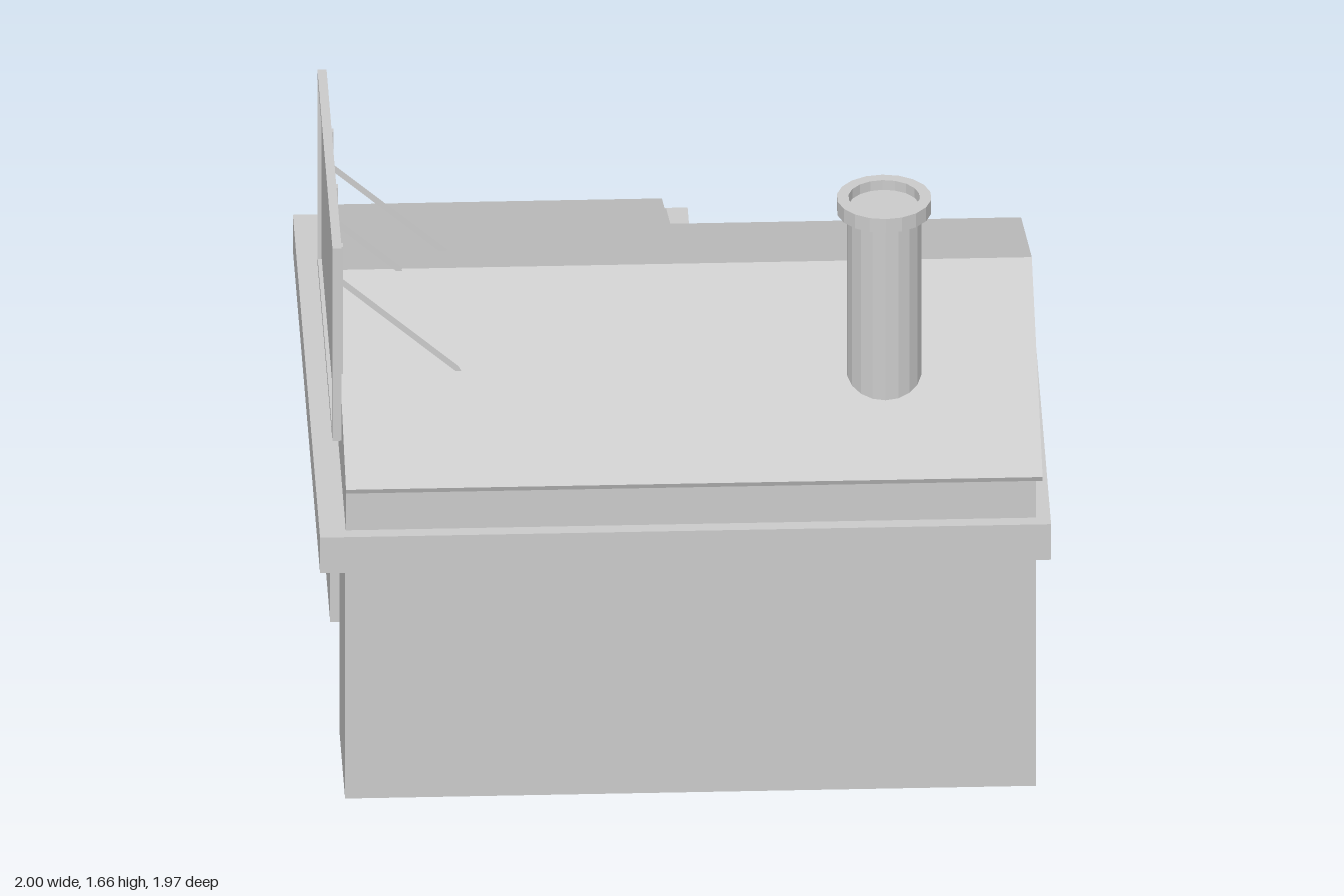
import * as THREE from 'three';

const grey = new THREE.MeshStandardMaterial({ color: 0xcccccc, flatShading: true });

function add(parent, name, geometry, x = 0, y = 0, z = 0) {
  const mesh = new THREE.Mesh(geometry, grey);
  mesh.name = name;
  mesh.position.set(x, y, z);
  parent.add(mesh);
  return mesh;
}

function extrude(points, depth) {
  const shape = new THREE.Shape(points.map(([a, b]) => new THREE.Vector2(a, b)));
  return new THREE.ExtrudeGeometry(shape, { depth, bevelEnabled: false });
}

// Floor plan of [x, z] corners raised from y0 to y1
const slab = (plan, y0, y1) =>
  extrude(plan.map(([x, z]) => [x, -z]), y1 - y0).rotateX(-Math.PI / 2).translate(0, y0, 0);

// Side profile of [z, y] corners drawn out from x0 to x1
const prism = (profile, x0, x1) =>
  extrude(profile.map(([z, y]) => [-z, y]), x1 - x0).rotateY(Math.PI / 2).translate(x0, 0, 0);

const RIDGE = 0.23;
const FRONT_SLOPE = 0.375, BACK_SLOPE = 0.364;
const roofY = (z, top) => top - (z > RIDGE ? FRONT_SLOPE : BACK_SLOPE) * Math.abs(z - RIDGE);

// Wall profile that fills the space under the roof
const gable = (front, back) => {
  const profile = [[front, 0.8], [front, roofY(front, 1.254)]];
  if (front > RIDGE) profile.push([RIDGE, 1.254]);
  profile.push([back, roofY(back, 1.254)], [back, 0.8]);
  return profile;
};

// Thin bent sheet with square-cut eaves
const sheet = (back) => [
  [0.982, roofY(0.982, 1.27)], [RIDGE, 1.27], [back, roofY(back, 1.27)],
  [back + 0.006, roofY(back + 0.006, 1.253)], [RIDGE, 1.253], [0.976, roofY(0.976, 1.253)],
];

export function createModel() {
  const model = new THREE.Group();
  model.name = 'building';

  // L-shaped walls with a shallow recess on the side below the billboard
  add(model, 'lowerWalls', slab([
    [-0.93, 0.92], [0.96, 0.92], [0.96, -0.46], [0.02, -0.46], [0.02, -0.89], [-0.93, -0.89],
    [-0.93, -0.11], [-0.895, -0.11], [-0.895, 0.53], [-0.93, 0.53],
  ], 0, 0.75));
  add(model, 'cornice', slab([
    [-1, 0.96], [1, 0.96], [1, -0.54], [0.08, -0.54], [0.08, -0.925], [-1, -0.925],
  ], 0.72, 0.83));
  add(model, 'mainGable', prism(gable(0.92, -0.46), -0.928, 0.96));
  add(model, 'wingGable', prism(gable(-0.46, -0.89), -0.928, 0.02));

  // Roof, longer over the back wing
  add(model, 'wingRoof', prism(sheet(-0.985), -0.93, 0.012));
  add(model, 'mainRoof', prism(sheet(-0.512), 0.012, 0.976));

  // Chimney with a hollow cap
  const chimney = [
    [0, 1.0], [0.103, 1.0], [0.103, 1.622], [0.13, 1.622],
    [0.13, 1.665], [0.098, 1.665], [0.098, 1.635], [0, 1.635],
  ].map(([r, y]) => new THREE.Vector2(r, y));
  add(model, 'chimney', new THREE.LatheGeometry(chimney, 18), 0.557, 0, 0.607);

  // Billboard with a raised rim on its outer face
  const billboard = new THREE.Group();
  billboard.name = 'billboard';
  model.add(billboard);
  const z0 = -0.29, z1 = 0.755, y0 = 1.02, y1 = 1.615, rim = 0.02;
  const midZ = (z0 + z1) / 2, midY = (y0 + y1) / 2;
  add(billboard, 'panel', new THREE.BoxGeometry(0.014, y1 - y0 - rim, z1 - z0 - rim), -0.94, midY, midZ);
  for (const y of [y0 + rim / 2, y1 - rim / 2])
    add(billboard, 'frameRail', new THREE.BoxGeometry(0.025, rim, z1 - z0), -0.9455, y, midZ);
  for (const z of [z0 + rim / 2, z1 - rim / 2])
    add(billboard, 'frameStile', new THREE.BoxGeometry(0.025, y1 - y0 - 2 * rim, rim), -0.9455, midY, z);

  // Posts and slanted braces that hold the billboard to the roof
  const top = new THREE.Vector2(-0.928, 1.418), foot = new THREE.Vector2(-0.6, 1.132);
  const run = foot.clone().sub(top);
  for (const z of [-0.095, 0.23, 0.575]) {
    add(billboard, 'post', new THREE.BoxGeometry(0.012, 0.4, 0.022), -0.928, 1.33, z);
    const brace = add(billboard, 'brace', new THREE.BoxGeometry(run.length(), 0.011, 0.016),
      (top.x + foot.x) / 2, (top.y + foot.y) / 2, z);
    brace.rotation.z = run.angle();
  }
  return model;
}
